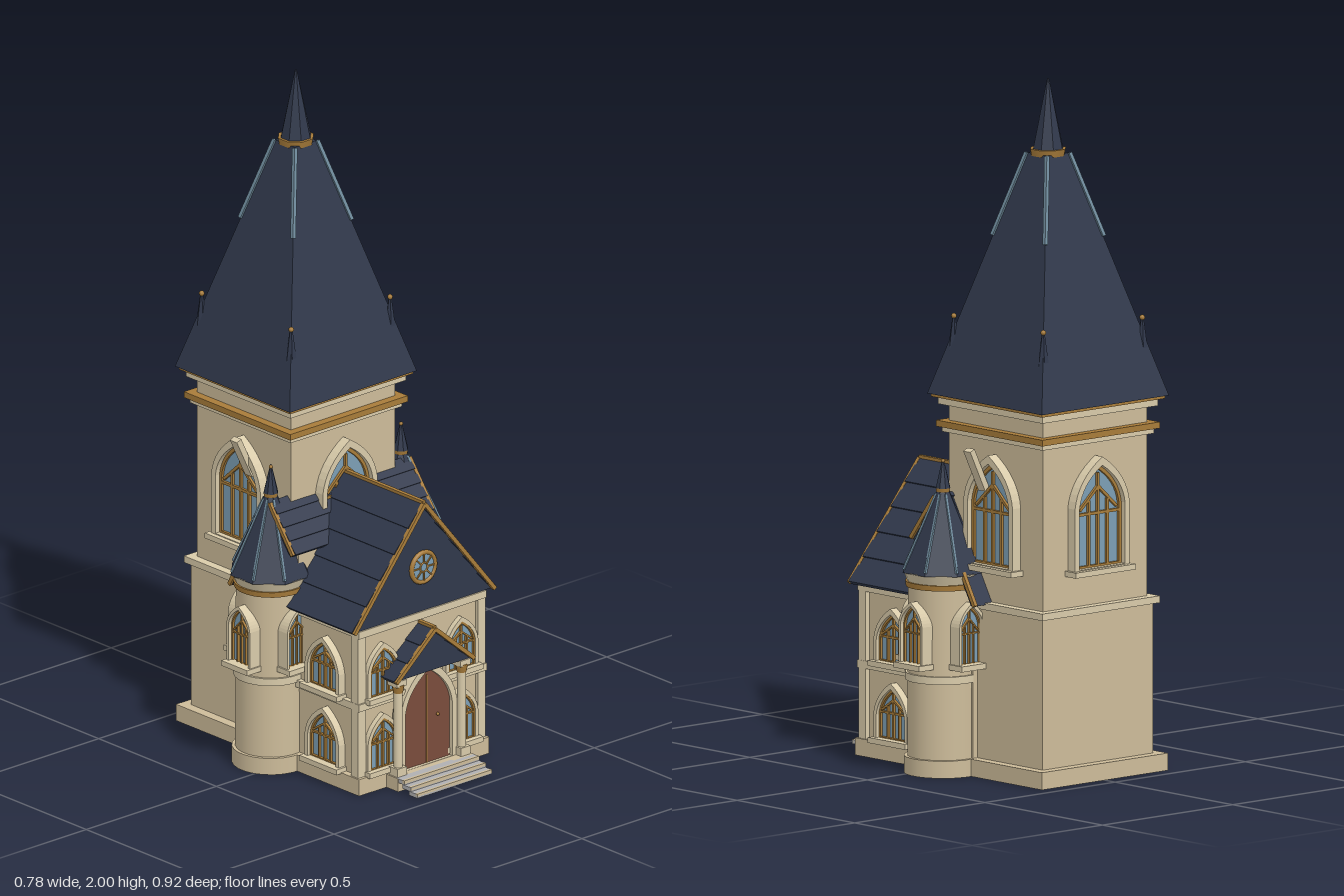
import * as THREE from 'three';

const M = {};
for (const [name, color] of Object.entries({
  stone: 0xcdbc9a, trim: 0xd9cbaa, slate: 0x30384b, gold: 0xa87c3a,
  glass: 0x7d9fb5, wood: 0x7a4c3c, step: 0xb0b0b2, lead: 0x6f8b9c,
})) {
  M[name] = new THREE.MeshStandardMaterial({ color });
  M[name].name = name;
}

function add(parent, name, geo, mat, x = 0, y = 0, z = 0) {
  const m = new THREE.Mesh(geo, mat);
  m.name = name;
  m.position.set(x, y, z);
  parent.add(m);
  return m;
}
const box = (p, name, mat, w, h, d, x, y, z) => add(p, name, new THREE.BoxGeometry(w, h, d), mat, x, y, z);
const cyl = (p, name, mat, rt, rb, h, n, x, y, z) =>
  add(p, name, new THREE.CylinderGeometry(rt, rb, h, n, 1, false, Math.PI / n), mat, x, y + h / 2, z);

// Faceted pyramid or cone standing on y
function spire(p, name, mat, rt, rb, h, n, x, y, z) {
  const g = new THREE.CylinderGeometry(rt, rb, h, n, 1, false, Math.PI / n).toNonIndexed();
  g.computeVertexNormals();
  return add(p, name, g, mat, x, y + h / 2, z);
}

// Square bar between two points
function beam(p, name, mat, a, b, w, d = w) {
  const A = new THREE.Vector3(...a), B = new THREE.Vector3(...b), dir = B.clone().sub(A);
  const m = add(p, name, new THREE.BoxGeometry(w, dir.length(), d), mat);
  m.position.copy(A).add(B).multiplyScalar(0.5);
  m.quaternion.setFromUnitVectors(new THREE.Vector3(0, 1, 0), dir.normalize());
  return m;
}

// Pointed arch outline, half width w, total height h
function arch(w, h, y = 0, Type = THREE.Shape) {
  const s = new Type(), k = h - w * 1.35;
  s.moveTo(-w, y);
  s.lineTo(w, y);
  s.lineTo(w, y + k);
  s.quadraticCurveTo(w * 0.9, y + k + w * 0.8, 0, y + h);
  s.quadraticCurveTo(-w * 0.9, y + k + w * 0.8, -w, y + k);
  return s;
}
const extrude = (s, depth) => new THREE.ExtrudeGeometry(s, { depth, bevelEnabled: false, curveSegments: 8 });

function archRing(p, name, mat, w, h, t, depth, z) {
  const s = arch(w, h);
  s.holes.push(arch(w - t, h - 2 * t, t * 0.6, THREE.Path));
  return add(p, name, extrude(s, depth), mat, 0, 0, z);
}

// Gothic window facing +z, sill at the origin, then turned by ry
function makeWindow(p, name, w, h, x, y, z, ry, out = 0.02) {
  const g = new THREE.Group();
  g.name = name;
  g.position.set(x, y, z);
  g.rotation.y = ry;
  p.add(g);
  archRing(g, 'stoneSurround', M.trim, w, h, w * 0.17, out + 0.02, -0.02);
  const iw = w * 0.84, ih = h - w * 0.32;
  add(g, 'pane', new THREE.ShapeGeometry(arch(iw, ih, w * 0.1)), M.glass, 0, 0, 0.004);
  const f = archRing(g, 'goldFrame', M.gold, iw, ih, w * 0.1, 0.012, 0);
  f.position.y = w * 0.1;
  const b = w * 0.08;
  for (const s of [-1, 0, 1])
    box(g, 'mullion', M.gold, b, ih * (s ? 0.66 : 0.92), 0.01, s * iw * 0.4, ih * (s ? 0.36 : 0.49), 0.007);
  box(g, 'transom', M.gold, iw * 1.9, b, 0.01, 0, ih * 0.56, 0.007);
  for (const s of [-1, 1])
    beam(g, 'tracery', M.gold, [s * iw * 0.8, ih * 0.6, 0.007], [0, ih * 0.82, 0.007], b, 0.01);
  box(g, 'sill', M.trim, w * 2.2, 0.016, out + 0.03, 0, 0, out / 2);
}

// Gable roof with ridge along z: stepped slates, gold rakes and ridge
function gable(p, name, half, y0, y1, z0, z1, rows, t) {
  const g = new THREE.Group();
  g.name = name;
  p.add(g);
  const s = new THREE.Shape([[-half, y0], [half, y0], [0, y1]].map(v => new THREE.Vector2(...v)));
  add(g, 'gableBody', extrude(s, z1 - z0 - 0.008), M.slate, 0, 0, z0);
  const rise = y1 - y0, len = Math.hypot(half, rise);
  for (const side of [-1, 1]) {
    for (let i = 0; i < rows; i++) {
      const u = (i + 0.5) / rows;
      const m = box(g, 'slateRow', M.slate, len / rows, t, z1 - z0 - 0.004, side * half * u, y1 - rise * u, (z0 + z1) / 2);
      m.rotation.z = -side * (Math.atan2(rise, half) - 0.06);
    }
    beam(g, 'rake', M.gold, [side * half, y0, z1], [0, y1, z1], 0.012);
  }
  box(g, 'ridge', M.gold, 0.012, 0.012, z1 - z0, 0, y1 + 0.003, (z0 + z1) / 2);
}

function makeTower(root) {
  const g = new THREE.Group(), Z = -0.215, R2 = Math.SQRT2;
  g.name = 'mainTower';
  g.position.z = Z;
  root.add(g);
  const slab = (name, mat, half, y0, y1) => box(g, name, mat, half * 2, y1 - y0, half * 2, 0, (y0 + y1) / 2, 0);
  slab('plinth', M.stone, 0.242, 0, 0.05);
  slab('lowerWall', M.stone, 0.212, 0.05, 0.5);
  slab('stringCourse', M.trim, 0.226, 0.485, 0.505);
  slab('upperWall', M.stone, 0.2, 0.5, 1.08);
  slab('goldBand', M.gold, 0.226, 0.99, 1.008);
  slab('bandLedge', M.trim, 0.214, 0.975, 0.99);
  slab('cornice', M.trim, 0.222, 1.055, 1.078);
  slab('goldEaves', M.gold, 0.236, 1.076, 1.09);
  spire(g, 'towerRoof', M.slate, 0.042 * R2, 0.244 * R2, 0.7, 4, 0, 1.085, 0);
  cyl(g, 'goldCollar', M.gold, 0.054, 0.05, 0.02, 8, 0, 1.778, 0);
  spire(g, 'topSpire', M.slate, 0.003, 0.046, 0.205, 8, 0, 1.795, 0);
  for (const sx of [-1, 1]) for (const sz of [-1, 1]) {
    beam(g, 'leadRidge', M.lead, [sx * 0.043, 1.785, sz * 0.043], [sx * 0.112, 1.545, sz * 0.112], 0.011);
    // corner pinnacles
    spire(g, 'pinnacle', M.slate, 0.004, 0.032, 0.2, 6, sx * 0.19, 1.11, sz * 0.19);
    add(g, 'pinnacleTip', new THREE.SphereGeometry(0.008, 8, 6), M.gold, sx * 0.19, 1.31, sz * 0.19);
  }
  for (let i = 0; i < 4; i++) {
    const a = i * Math.PI / 2;
    makeWindow(g, 'towerWindow', 0.105, 0.33, Math.sin(a) * 0.203, 0.605, Math.cos(a) * 0.203, a, 0.028);
  }
  // leaning side buttress caps
  for (const s of [-1, 1])
    beam(g, 'leaningCap', M.trim, [s * 0.21, 0.83, 0.04], [s * 0.268, 0.95, 0.04], 0.018, 0.03);
}

function makeTurret(root, s) {
  const g = new THREE.Group();
  g.name = s > 0 ? 'leftTurret' : 'rightTurret';
  g.position.set(s * 0.25, 0, -0.045);
  root.add(g);
  cyl(g, 'plinth', M.stone, 0.112, 0.112, 0.05, 24, 0, 0, 0);
  cyl(g, 'wall', M.stone, 0.1, 0.102, 0.54, 24, 0, 0.05, 0);
  cyl(g, 'stringCourse', M.trim, 0.108, 0.108, 0.022, 24, 0, 0.27, 0);
  cyl(g, 'goldRing', M.gold, 0.108, 0.106, 0.016, 24, 0, 0.54, 0);
  cyl(g, 'cornice', M.trim, 0.114, 0.102, 0.03, 24, 0, 0.555, 0);
  spire(g, 'turretRoof', M.slate, 0.006, 0.122, 0.26, 8, 0, 0.583, 0);
  for (let i = 0; i < 8; i++) {
    const a = (i + 0.5) * Math.PI / 4, sx = Math.sin(a), sz = Math.cos(a);
    if (sx * s > 0.3) beam(g, 'leadRidge', M.lead, [sx * 0.118, 0.592, sz * 0.118], [sx * 0.02, 0.805, sz * 0.02], 0.007);
  }
  cyl(g, 'finialCollar', M.gold, 0.022, 0.02, 0.012, 8, 0, 0.81, 0);
  spire(g, 'finial', M.slate, 0.002, 0.022, 0.085, 8, 0, 0.822, 0);
  add(g, 'finialTip', new THREE.SphereGeometry(0.006, 8, 6), M.gold, 0, 0.9, 0);
  for (const a of [0, s * Math.PI / 2, Math.PI])
    makeWindow(g, 'turretWindow', 0.05, 0.185, Math.sin(a) * 0.102, 0.32, Math.cos(a) * 0.102, a, 0.024);
}

function makeHall(root) {
  const g = new THREE.Group();
  g.name = 'hall';
  root.add(g);
  box(g, 'plinth', M.stone, 0.5, 0.05, 0.46, 0, 0.025, 0.1);
  box(g, 'wall', M.stone, 0.46, 0.46, 0.46, 0, 0.27, 0.08);
  box(g, 'stringCourse', M.trim, 0.492, 0.022, 0.47, 0, 0.265, 0.09);
  box(g, 'eavesCourse', M.trim, 0.49, 0.022, 0.47, 0, 0.488, 0.09);
  for (const s of [-1, 1]) {
    box(g, 'cornerPier', M.trim, 0.03, 0.45, 0.03, s * 0.23, 0.27, 0.305);
    for (const y of [0.055, 0.278]) {
      makeWindow(g, 'sideWindow', 0.072, y < 0.1 ? 0.172 : 0.165, s * 0.232, y, 0.175, s * Math.PI / 2, 0.022);
      makeWindow(g, 'frontWindow', 0.062, y < 0.1 ? 0.172 : 0.165, s * 0.15, y, 0.312, 0, 0.014);
    }
  }
  gable(g, 'hallRoof', 0.27, 0.5, 0.83, -0.01, 0.33, 5, 0.014);

  // Rose window in the gable
  const rose = new THREE.Group();
  rose.name = 'roseWindow';
  rose.position.set(0, 0.635, 0.326);
  g.add(rose);
  add(rose, 'pane', new THREE.CircleGeometry(0.043, 24), M.glass, 0, 0, 0.002);
  add(rose, 'ring', new THREE.TorusGeometry(0.045, 0.007, 8, 24), M.gold);
  add(rose, 'hub', new THREE.TorusGeometry(0.014, 0.003, 6, 16), M.gold, 0, 0, 0.003);
  for (let i = 0; i < 8; i++) {
    const c = Math.cos(i * Math.PI / 4), s = Math.sin(i * Math.PI / 4);
    beam(rose, 'spoke', M.gold, [c * 0.013, s * 0.013, 0.004], [c * 0.043, s * 0.043, 0.004], 0.004);
  }

  // Cross roof running between the turrets; profile is (z, y)
  const shape = pts => new THREE.Shape(pts.map(v => new THREE.Vector2(...v)));
  const across = (name, pts, half, mat) => {
    const m = add(g, name, extrude(shape(pts), half * 2), mat, half, 0, 0);
    m.rotation.y = -Math.PI / 2;
  };
  across('crossWall', [[-0.17, 0.5], [0.05, 0.5], [0.05, 0.68], [-0.03, 0.77]], 0.23, M.stone);
  across('crossRoof', [[0.07, 0.665], [-0.03, 0.795], [-0.2, 0.5], [-0.18, 0.5], [-0.03, 0.76], [0.055, 0.655]], 0.265, M.slate);
  for (let i = 0; i < 4; i++) {
    const m = box(g, 'crossSlateRow', M.slate, 0.53, 0.014, 0.043, 0, 0.783 - i * 0.034, -0.02 + i * 0.026);
    m.rotation.x = 0.82;
  }
  for (const s of [-1, 1]) {
    beam(g, 'crossRake', M.gold, [s * 0.267, 0.665, 0.07], [s * 0.267, 0.797, -0.03], 0.012);
    beam(g, 'crossRake', M.gold, [s * 0.267, 0.797, -0.03], [s * 0.267, 0.5, -0.2], 0.012);
  }
}

function makePorch(root) {
  const g = new THREE.Group();
  g.name = 'porch';
  root.add(g);
  box(g, 'porchFloor', M.stone, 0.29, 0.04, 0.07, 0, 0.02, 0.345);
  // door with pointed surround
  add(g, 'door', extrude(arch(0.088, 0.3), 0.012), M.wood, 0, 0.04, 0.328);
  const ring = archRing(g, 'doorSurround', M.trim, 0.108, 0.325, 0.018, 0.035, 0.315);
  ring.position.y = 0.03;
  box(g, 'doorSeam', M.gold, 0.003, 0.27, 0.003, 0, 0.175, 0.341);
  add(g, 'doorKnob', new THREE.SphereGeometry(0.005, 8, 6), M.gold, 0.04, 0.18, 0.344);
  for (const s of [-1, 1]) {
    box(g, 'columnBase', M.trim, 0.036, 0.03, 0.036, s * 0.122, 0.05, 0.354);
    cyl(g, 'column', M.trim, 0.013, 0.013, 0.25, 12, s * 0.122, 0.06, 0.354);
    cyl(g, 'goldCapital', M.gold, 0.019, 0.014, 0.025, 12, s * 0.122, 0.292, 0.354);
    box(g, 'capitalBlock', M.trim, 0.038, 0.018, 0.04, s * 0.122, 0.322, 0.35);
  }
  // pediment above the arch
  gable(g, 'porchRoof', 0.15, 0.332, 0.46, 0.305, 0.375, 3, 0.012);
  // entrance steps
  for (let i = 0; i < 3; i++) {
    const z1 = 0.405 + i * 0.0275, h = 0.04 - i * 0.0125;
    box(g, 'step', M.step, 0.288, 0.012, 0.035, 0, h - 0.006, z1 - 0.0175);
    box(g, 'stepNosing', M.stone, 0.288, 0.01, 0.008, 0, h - 0.004, z1 - 0.004);
  }
}

export function createModel() {
  const root = new THREE.Group();
  root.name = 'chapelTower';
  makeTower(root);
  makeHall(root);
  makePorch(root);
  for (const s of [-1, 1]) makeTurret(root, s);
  return root;
}
